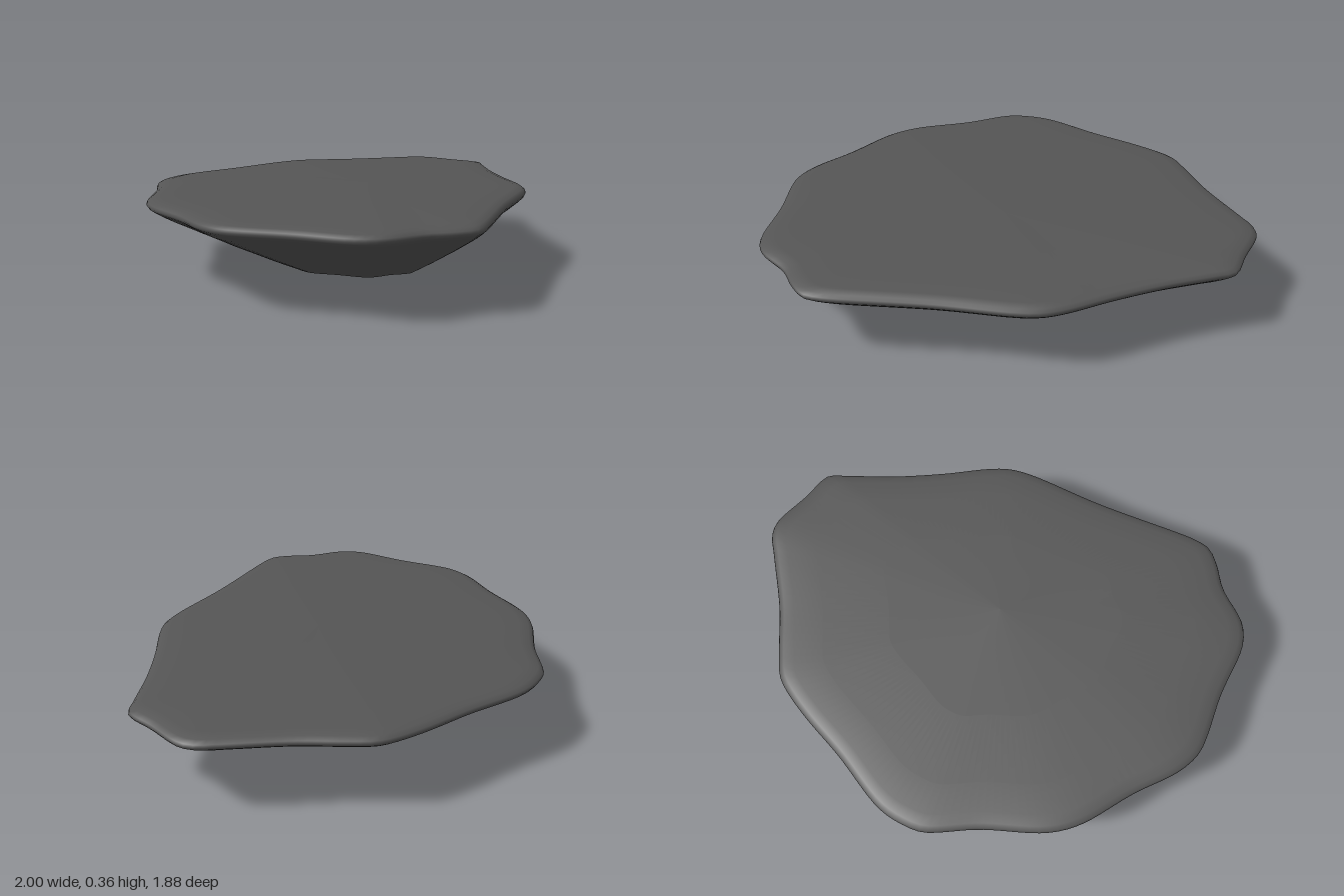
import * as THREE from 'three';

// Plan outline of the slab as [x, z], running from back through +x to the front
const outline = [
  [0.22, -0.945], [0.3, -0.935], [0.4, -0.88], [0.57, -0.775], [0.8, -0.665], [0.89, -0.62],
  [0.93, -0.57], [0.965, -0.4], [0.995, -0.26], [0.955, -0.2], [0.82, -0.015], [0.7, 0.18],
  [0.6, 0.365], [0.545, 0.44], [0.47, 0.5], [0.165, 0.67], [-0.18, 0.89], [-0.235, 0.92],
  [-0.29, 0.937], [-0.37, 0.915], [-0.475, 0.865], [-0.635, 0.835], [-0.695, 0.8], [-0.74, 0.75],
  [-0.845, 0.55], [-0.957, 0.38], [-0.99, 0.31], [-1, 0.2], [-0.965, -0.01], [-0.945, -0.24],
  [-0.92, -0.33], [-0.875, -0.415], [-0.72, -0.61], [-0.6, -0.8], [-0.54, -0.845],
  [-0.42, -0.895], [-0.13, -0.915], [0.085, -0.94],
];

// Vertical section as [outline scale, height], from the underside centre to the top centre
const section = [
  [0, 0], [0.24, 0.002], [0.3, 0.01], [0.36, 0.02], [0.44, 0.038], [0.6, 0.108], [0.8, 0.2],
  [0.93, 0.263], [0.975, 0.288], [0.993, 0.3], [1, 0.311], [0.995, 0.322], [0.975, 0.333],
  [0.93, 0.341], [0.8, 0.347], [0.5, 0.353], [0, 0.356],
];

// Sweep the section around the outline, welding each ring shut
function slabGeometry(segments) {
  const curve = new THREE.CatmullRomCurve3(
    outline.map(([x, z]) => new THREE.Vector3(x, 0, z)), true, 'centripetal');
  const rim = curve.getSpacedPoints(segments).slice(0, segments);
  const positions = [];
  const index = [];
  for (const [scale, y] of section) {
    for (const p of rim) positions.push(p.x * scale, y, p.z * scale);
  }
  const last = section.length - 2;
  for (let i = 0; i <= last; i++) {
    for (let j = 0; j < segments; j++) {
      const k = (j + 1) % segments;
      const a = i * segments + j, b = a + segments;
      const c = i * segments + k, d = c + segments;
      if (i > 0) index.push(a, b, c);
      if (i < last) index.push(b, d, c);
    }
  }
  const geometry = new THREE.BufferGeometry();
  geometry.setAttribute('position', new THREE.Float32BufferAttribute(positions, 3));
  geometry.setIndex(index);
  geometry.computeVertexNormals();
  return geometry;
}

export function createModel() {
  const stone = new THREE.MeshStandardMaterial({ color: 0x555555 });
  stone.name = 'dark grey stone';

  const group = new THREE.Group();
  group.name = 'flatStone';

  const slab = new THREE.Mesh(slabGeometry(160), stone);
  slab.name = 'stoneSlab';
  group.add(slab);
  return group;
}
